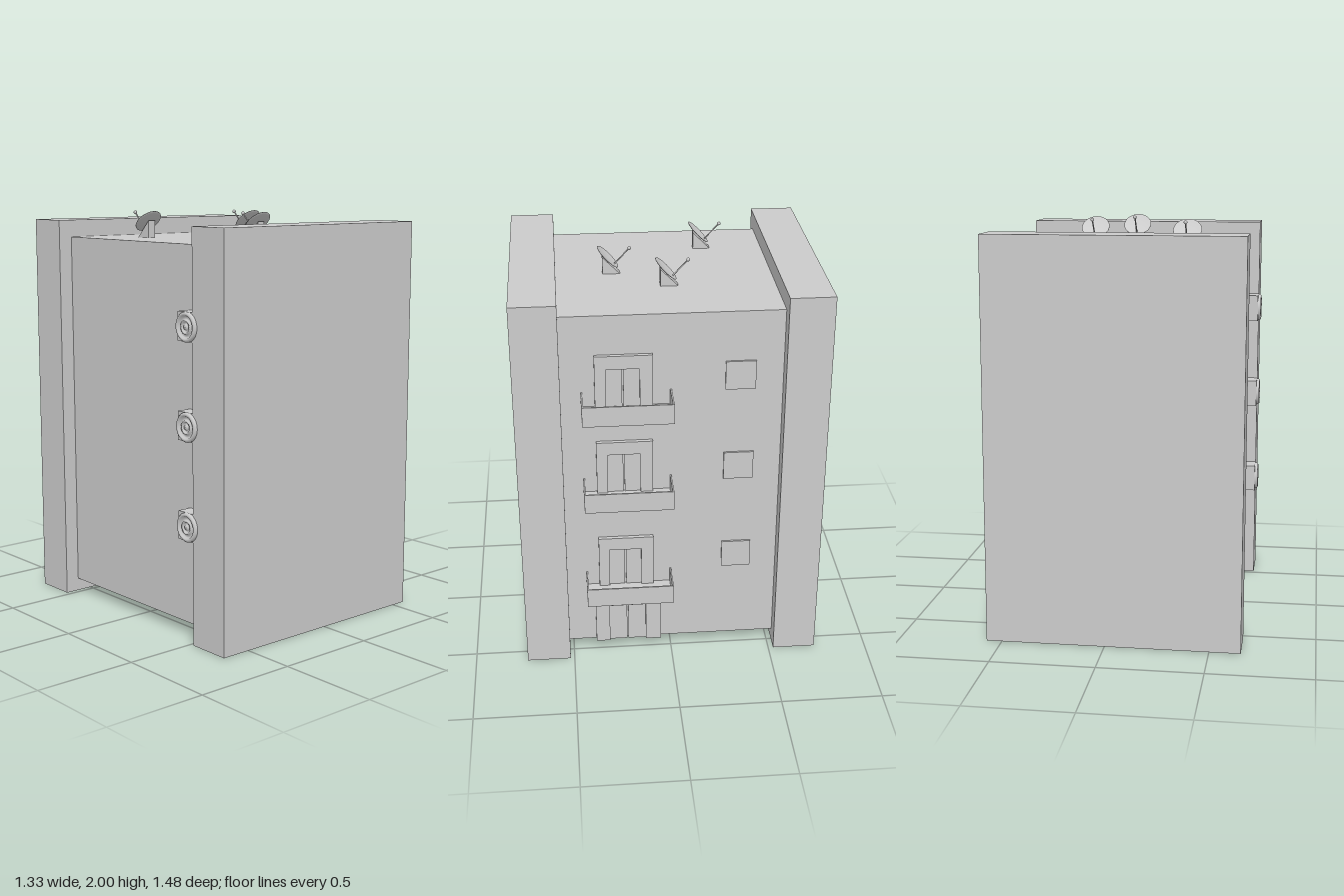
import * as THREE from 'three';

const material = new THREE.MeshStandardMaterial({ color: 0xcccccc });
const thin = new THREE.MeshStandardMaterial({ color: 0xcccccc, side: THREE.DoubleSide });

function add(parent, name, geometry, mat = material) {
  const mesh = new THREE.Mesh(geometry, mat);
  mesh.name = name;
  parent.add(mesh);
  return mesh;
}

// Box given by its lower and upper bounds on each axis
function box(parent, name, x0, x1, y0, y1, z0, z1) {
  const mesh = add(parent, name, new THREE.BoxGeometry(x1 - x0, y1 - y0, z1 - z0));
  mesh.position.set((x0 + x1) / 2, (y0 + y1) / 2, (z0 + z1) / 2);
  return mesh;
}

function subgroup(parent, name) {
  const group = new THREE.Group();
  group.name = name;
  parent.add(group);
  return group;
}

const WALL = 0.5; // x of the facade with the doors

// Surround open at the bottom, with two recessed leaves
function door(parent, name, y0, y1, z0, z1, innerTop, in0, in1) {
  const g = subgroup(parent, name);
  box(g, 'doorJamb', WALL - 0.01, 0.52, y0, y1, z0, in0);
  box(g, 'doorJamb', WALL - 0.01, 0.52, y0, y1, in1, z1);
  box(g, 'doorLintel', WALL - 0.01, 0.52, innerTop, y1, in0, in1);
  const mid = (in0 + in1) / 2;
  for (const [a, b] of [[in0, mid - 0.003], [mid + 0.003, in1]]) {
    box(g, 'doorLeaf', WALL - 0.01, 0.508, y0, innerTop, a, b);
  }
}

// Open tray with thin parapets
function balcony(parent, y) {
  const g = subgroup(parent, 'balcony');
  const z0 = 0, z1 = 0.425, t = 0.007, top = y + 0.1;
  box(g, 'balconyFloor', WALL - 0.01, 0.66, y, y + 0.025, z0, z1);
  box(g, 'balconyFrontParapet', 0.66 - t, 0.66, y + 0.025, top, z0, z1);
  box(g, 'balconySideParapet', WALL - 0.01, 0.66 - t, y + 0.025, top, z0, z0 + t);
  box(g, 'balconySideParapet', WALL - 0.01, 0.66 - t, y + 0.025, top, z1 - t, z1);
}

// Wall box with a ringed fan cover facing -x
function airConditioner(parent, y) {
  const g = subgroup(parent, 'airConditioner');
  box(g, 'airConditionerCase', -0.65, -0.57, y - 0.068, y + 0.068, 0.415, 0.553);
  const cover = [[0.07, 0], [0.07, 0.008], [0.064, 0.015], [0.054, 0.015], [0.048, 0.004],
    [0.036, 0.004], [0.033, 0.012], [0.026, 0.012], [0.022, 0.004], [0.014, 0.004], [0.011, 0.012], [0, 0.012]];
  const fan = add(g, 'fanCover', new THREE.LatheGeometry(cover.map(p => new THREE.Vector2(...p)), 32), thin);
  fan.rotation.z = Math.PI / 2;
  fan.position.set(-0.65, y, 0.484);
}

// Wedge foot, tilted shallow bowl and receiver arm
function satelliteDish(parent, x, z) {
  const g = subgroup(parent, 'satelliteDish');
  g.position.set(x, 1.86, z);

  const wedge = new THREE.Shape([[0.065, 0], [-0.025, 0], [-0.025, 0.09]].map(p => new THREE.Vector2(...p)));
  const foot = new THREE.ExtrudeGeometry(wedge, { depth: 0.04, bevelEnabled: false });
  foot.rotateY(Math.PI / 2);
  add(g, 'dishFoot', foot).position.x = -0.02;

  const profile = [[0, -0.006], [0.035, -0.0045], [0.06, -0.001], [0.07, 0.002], [0.07, 0.004],
    [0.06, 0.002], [0.035, -0.002], [0, -0.004]];
  const bowl = add(g, 'dishBowl', new THREE.LatheGeometry(profile.map(p => new THREE.Vector2(...p)), 32), thin);
  bowl.rotation.x = -Math.PI / 4;
  bowl.position.y = 0.085;

  const from = new THREE.Vector3(0, 0.05, -0.035), to = new THREE.Vector3(0, 0.128, -0.108);
  const arm = new THREE.TubeGeometry(new THREE.LineCurve3(from, to), 1, 0.0035, 8);
  add(g, 'receiverArm', arm, thin);
  add(g, 'receiver', new THREE.SphereGeometry(0.009, 12, 8)).position.copy(to);
}

export function createModel() {
  const model = new THREE.Group();
  model.name = 'apartmentBlock';

  // Main block between two taller end walls
  box(model, 'mainBlock', -0.578, WALL, 0.065, 1.865, -0.53, 0.53);
  box(model, 'frontEndWall', -0.65, 0.575, 0, 1.95, 0.52, 0.738);
  box(model, 'backEndWall', -0.65, 0.575, 0, 1.95, -0.738, -0.525);

  // Entrance and the three floors above it
  door(model, 'entrance', 0.06, 0.345, 0.053, 0.383, 0.275, 0.13, 0.313);
  for (const [y, top] of [[0.378, 0.68], [0.92, 1.22], [1.383, 1.67]]) {
    balcony(model, y);
    door(model, 'balconyDoor', y + 0.02, top, 0.09, 0.36, top - 0.067, 0.15, 0.308);
  }
  for (const y of [0.553, 1.062, 1.545]) {
    box(model, 'window', WALL - 0.01, 0.51, y - 0.072, y + 0.072, -0.395, -0.252);
  }

  for (const y of [0.565, 1.037, 1.498]) airConditioner(model, y);

  for (const [x, z] of [[-0.33, -0.205], [0.155, 0], [-0.022, 0.267]]) satelliteDish(model, x, z);

  return model;
}
